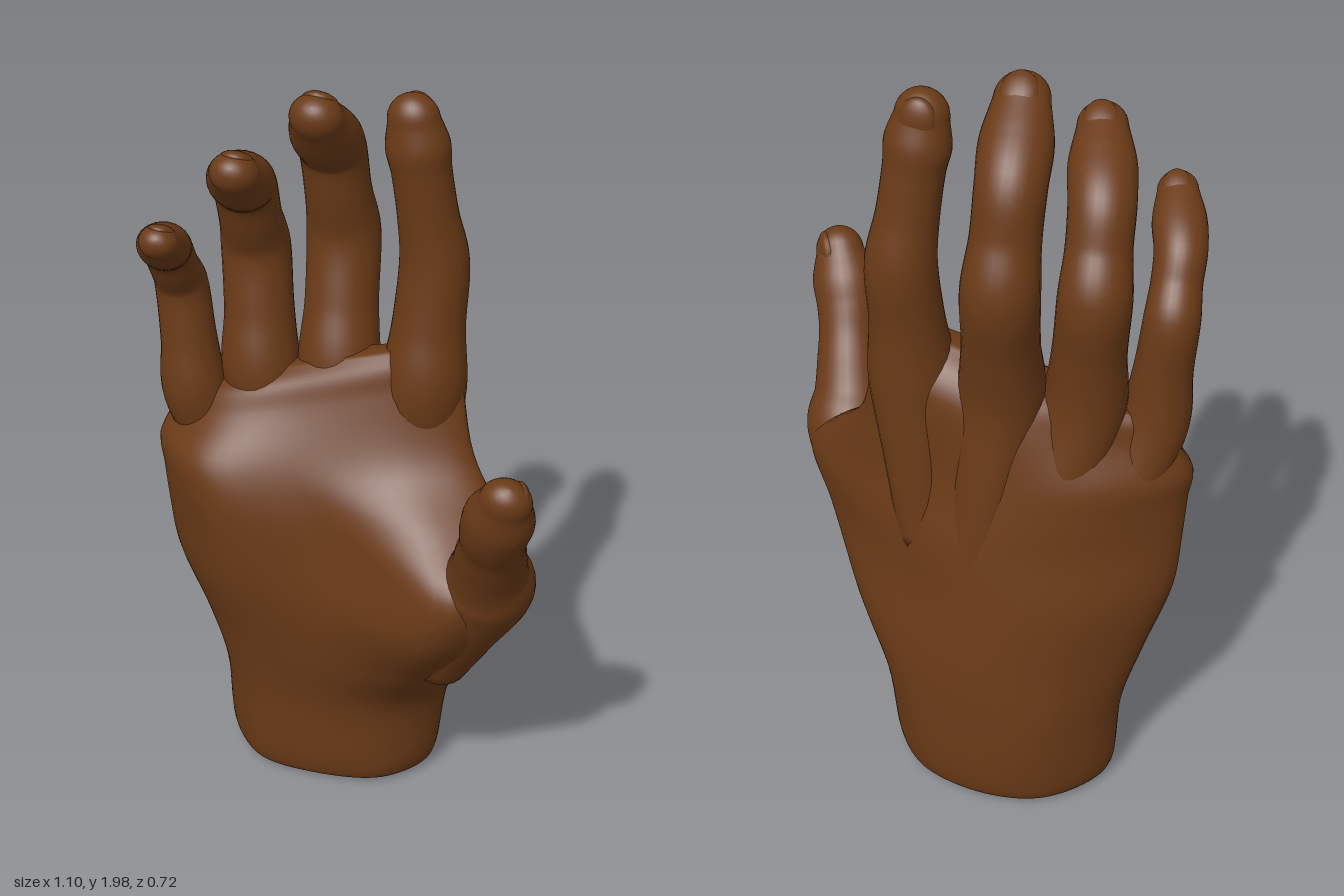
import * as THREE from 'three';

const skin = new THREE.MeshStandardMaterial({ color: 0x6a3a17 });
const V = (x, y, z) => new THREE.Vector3(x, y, z);
const spline = (pts, closed = false) => new THREE.CatmullRomCurve3(pts, closed, 'centripetal');
// Samples that stay aligned with the control points
const sample = (pts, perSpan, closed = false) =>
  spline(pts, closed).getPoints((closed ? pts.length : pts.length - 1) * perSpan);

// Skin a list of equal rings and close both ends
function loft(rings, name) {
  const n = rings[0].length, pos = [], idx = [];
  rings.forEach(r => r.forEach(p => pos.push(p.x, p.y, p.z)));
  for (let i = 0; i < rings.length - 1; i++) {
    for (let j = 0; j < n; j++) {
      const a = i * n + j, b = i * n + (j + 1) % n;
      idx.push(a, b, a + n, b, b + n, a + n);
    }
  }
  [0, rings.length - 1].forEach((ri, end) => {
    const c = rings[ri].reduce((s, p) => s.add(p), V(0, 0, 0)).divideScalar(n);
    const ci = pos.length / 3;
    pos.push(c.x, c.y, c.z);
    for (let j = 0; j < n; j++) {
      const a = ri * n + j, b = ri * n + (j + 1) % n;
      end ? idx.push(a, b, ci) : idx.push(b, a, ci);
    }
  });
  const g = new THREE.BufferGeometry();
  g.setAttribute('position', new THREE.Float32BufferAttribute(pos, 3));
  g.setIndex(idx);
  g.computeVertexNormals();
  const mesh = new THREE.Mesh(g, skin);
  mesh.name = name;
  return mesh;
}

// Closed palm outline: front and back depths at three stations across the width
function palmSection([y, xl, xr, f1, f2, f3, b1, b2, b3]) {
  // the knuckle line drops towards the little finger
  const tilt = 0.26 * THREE.MathUtils.smoothstep(y, 0.92, 1.2);
  const P = (u, z) => {
    const x = xl + (xr - xl) * u;
    return V(x, y + tilt * (x + 0.06), z);
  };
  return sample([
    P(1, (f3 + b3) / 2), P(0.85, b3), P(0.5, b2), P(0.2, b1),
    P(0, (f1 + b1) / 2), P(0.2, f1), P(0.5, f2), P(0.85, f3),
  ], 8, true).slice(0, -1);
}

// Copy of a section pulled in around its middle, to round off an end
function shrink(section, kx, kz, dy) {
  const c = new THREE.Box3().setFromPoints(section).getCenter(V(0, 0, 0));
  return section.map(p => V(c.x + (p.x - c.x) * kx, p.y + dy, c.z + (p.z - c.z) * kz));
}

function makePalm() {
  // y, outer edge x, thumb edge x, three front depths, three back depths
  const sections = [
    [0.06, -0.41, 0.175, 0.015, 0.035, -0.02, -0.31, -0.355, -0.3],
    [0.28, -0.425, 0.21, 0.03, 0.05, -0.01, -0.32, -0.365, -0.3],
    [0.45, -0.47, 0.31, 0.055, 0.085, 0.075, -0.3, -0.355, -0.25],
    [0.65, -0.53, 0.42, 0.105, 0.11, 0.185, -0.28, -0.325, -0.16],
    [0.8, -0.54, 0.475, 0.125, 0.095, 0.19, -0.25, -0.3, -0.13],
    [0.91, -0.545, 0.39, 0.125, 0.08, 0.1, -0.23, -0.28, -0.16],
    [1.02, -0.553, 0.275, 0.1, 0.055, -0.01, -0.205, -0.26, -0.21],
    [1.17, -0.525, 0.225, 0.02, -0.01, -0.07, -0.155, -0.225, -0.22],
  ].map(palmSection);
  const wrist = sections[0], web = sections[sections.length - 1];
  sections.unshift(shrink(wrist, 0.82, 0.8, -0.055), shrink(wrist, 0.94, 0.93, -0.04));
  sections.push(shrink(web, 0.94, 0.72, 0.06), shrink(web, 0.82, 0.3, 0.095));
  const columns = sections[0].map((_, j) => sample(sections.map(s => s[j]), 6));
  return loft(columns[0].map((_, i) => columns.map(c => c[i])), 'palm');
}

// Finger through points [x, y, z, radius]: root in the palm, knuckle, joints, tip; plus a nail
function makeDigit(name, nailAngle, joints) {
  const group = new THREE.Group();
  group.name = name;
  // full over the buried root, slimmer between joints, fullest at the last pad
  const fullness = i => (i === 1 ? 1 : i === joints.length - 1 ? 1.15 : 0.94);
  const pts = [joints[0]];
  for (let i = 1; i < joints.length; i++) {
    const a = joints[i - 1], b = joints[i];
    pts.push(a.map((v, k) => (v + b[k]) / 2 * (k === 3 ? fullness(i) : 1)), b);
  }
  const path = spline(pts.map(p => V(p[0], p[1], p[2])));
  const size = spline(pts.map((p, i) => V(p[3], i * 0.1, 0)));
  const steps = (pts.length - 1) * 7, sides = 28, rings = [];
  let T, S, N, c, r, flat;
  const ring = (centre, k) => rings.push(Array.from({ length: sides }, (_, j) => {
    const a = j / sides * Math.PI * 2;
    return centre.clone().addScaledVector(S, Math.cos(a) * r * k).addScaledVector(N, Math.sin(a) * r * k * flat);
  }));
  for (let i = 0; i <= steps; i++) {
    const t = i / steps;
    c = path.getPoint(t);
    r = size.getPoint(t).x;
    flat = 0.96 - 0.12 * THREE.MathUtils.smoothstep(t, 0.65, 1);
    T = path.getTangent(t);
    S = V(1, 0, 0).addScaledVector(T, -T.x).normalize();
    N = T.clone().cross(S);
    ring(c, 1);
  }
  // round tip
  for (let i = 1; i <= 8; i++) {
    const a = i / 8 * Math.PI * 0.49;
    ring(c.clone().addScaledVector(T, Math.sin(a) * r), Math.cos(a));
  }
  group.add(loft(rings, name + 'Flesh'));

  // nail: a flattened ellipsoid sunk into the back of the tip
  const out = S.clone().multiplyScalar(Math.cos(nailAngle)).addScaledVector(N, Math.sin(nailAngle));
  const nail = new THREE.Mesh(new THREE.SphereGeometry(1, 20, 12), skin);
  nail.name = name + 'Nail';
  nail.quaternion.setFromRotationMatrix(new THREE.Matrix4().makeBasis(T.clone().cross(out), T, out));
  nail.scale.set(r * 0.7, r * 0.85, r * 0.35);
  nail.position.copy(c).addScaledVector(out, r * 0.53);
  group.add(nail);
  return group;
}

export function createModel() {
  const hand = new THREE.Group();
  hand.name = 'hand';
  const back = Math.PI / 2;
  hand.add(
    makePalm(),
    makeDigit('indexFinger', back, [
      [0.08, 0.74, -0.2, 0.07], [0.127, 1.2, -0.15, 0.108], [0.138, 1.53, -0.18, 0.086],
      [0.11, 1.77, -0.155, 0.073], [0.093, 1.9, -0.143, 0.064]]),
    makeDigit('middleFinger', back, [
      [-0.06, 0.7, -0.25, 0.07], [-0.1, 1.19, -0.16, 0.106], [-0.12, 1.54, -0.24, 0.093],
      [-0.125, 1.78, -0.18, 0.083], [-0.105, 1.915, -0.035, 0.066]]),
    makeDigit('ringFinger', back, [
      [-0.2, 0.7, -0.235, 0.07], [-0.29, 1.17, -0.11, 0.102], [-0.318, 1.51, -0.15, 0.087],
      [-0.305, 1.7, -0.065, 0.079], [-0.258, 1.805, 0.095, 0.06]]),
    makeDigit('littleFinger', back, [
      [-0.36, 0.74, -0.17, 0.065], [-0.45, 1.12, -0.05, 0.085], [-0.478, 1.42, -0.05, 0.067],
      [-0.47, 1.55, 0.035, 0.063], [-0.428, 1.63, 0.16, 0.049]]),
    makeDigit('thumb', 0.5, [
      [0.22, 0.48, -0.02, 0.09], [0.385, 0.82, 0.085, 0.118], [0.418, 0.97, 0.175, 0.086],
      [0.445, 1.085, 0.245, 0.083], [0.485, 1.205, 0.302, 0.063]]),
  );
  return hand;
}
